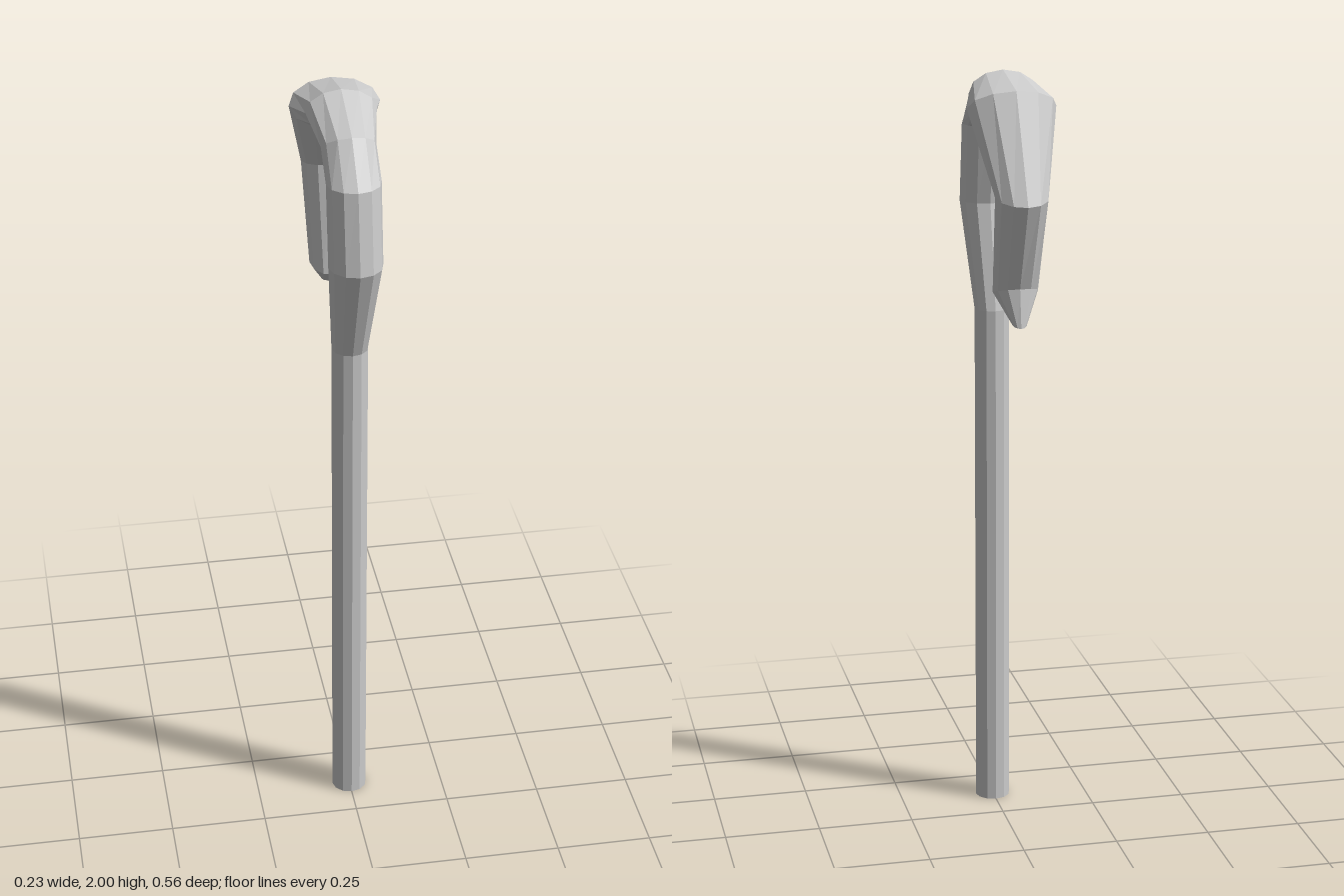
import * as THREE from 'three';

const SIDES = 12;
const material = new THREE.MeshStandardMaterial({ color: 0xcccccc, flatShading: true });

// A ring is [outerZ, outerY, innerZ, innerY, halfWidth]: an ellipse across the x = 0 plane.
function ringPoints([oz, oy, iz, iy, w]) {
  const points = [];
  for (let j = 0; j < SIDES; j++) {
    const t = (j / SIDES) * Math.PI * 2;
    const k = Math.cos(t) / 2;
    points.push([w * Math.sin(t), (oy + iy) / 2 + k * (oy - iy), (oz + iz) / 2 + k * (oz - iz)]);
  }
  return points;
}

// Skin the rings in order, optionally closing the first and last.
function loft(name, rings, capStart, capEnd) {
  const loops = rings.map(ringPoints);
  const pos = [];
  const tri = (a, b, c) => pos.push(...a, ...b, ...c);
  for (let i = 0; i < loops.length - 1; i++) {
    for (let j = 0; j < SIDES; j++) {
      const n = (j + 1) % SIDES;
      const a = loops[i][j], b = loops[i][n], c = loops[i + 1][n], d = loops[i + 1][j];
      tri(a, b, c);
      tri(a, c, d);
    }
  }
  const last = loops[loops.length - 1];
  for (let j = 1; j < SIDES - 1; j++) {
    if (capStart) tri(loops[0][0], loops[0][j + 1], loops[0][j]);
    if (capEnd) tri(last[0], last[j], last[j + 1]);
  }
  const geometry = new THREE.BufferGeometry();
  geometry.setAttribute('position', new THREE.Float32BufferAttribute(pos, 3));
  geometry.computeVertexNormals();
  const mesh = new THREE.Mesh(geometry, material);
  mesh.name = name;
  return mesh;
}

export function createModel() {
  const group = new THREE.Group();
  group.name = 'crookStaff';

  const shaftTop = [0.175, 1.365, 0.085, 1.365, 0.046];

  // Straight shaft
  group.add(loft('shaft', [[0.175, 0, 0.085, 0, 0.046], shaftTop], true, false));

  // Hooked head, widest just behind its crown
  group.add(loft('crook', [
    shaftTop,
    [0.279, 1.635, 0.146, 1.635, 0.067],
    [0.245, 1.84, 0.117, 1.838, 0.067],
    [0.155, 1.942, 0.06, 1.862, 0.067],
    [0, 2, 0, 1.888, 0.087],
    [-0.149, 1.968, -0.044, 1.876, 0.113],
    [-0.279, 1.705, -0.14, 1.735, 0.067],
    [-0.193, 1.485, -0.087, 1.455, 0.058],
  ], false, false));

  // Slanted, pointed end of the hook
  group.add(loft('hookTip', [
    [-0.193, 1.485, -0.087, 1.455, 0.058],
    [-0.207, 1.388, -0.163, 1.4, 0.018],
  ], false, true));

  return group;
}
